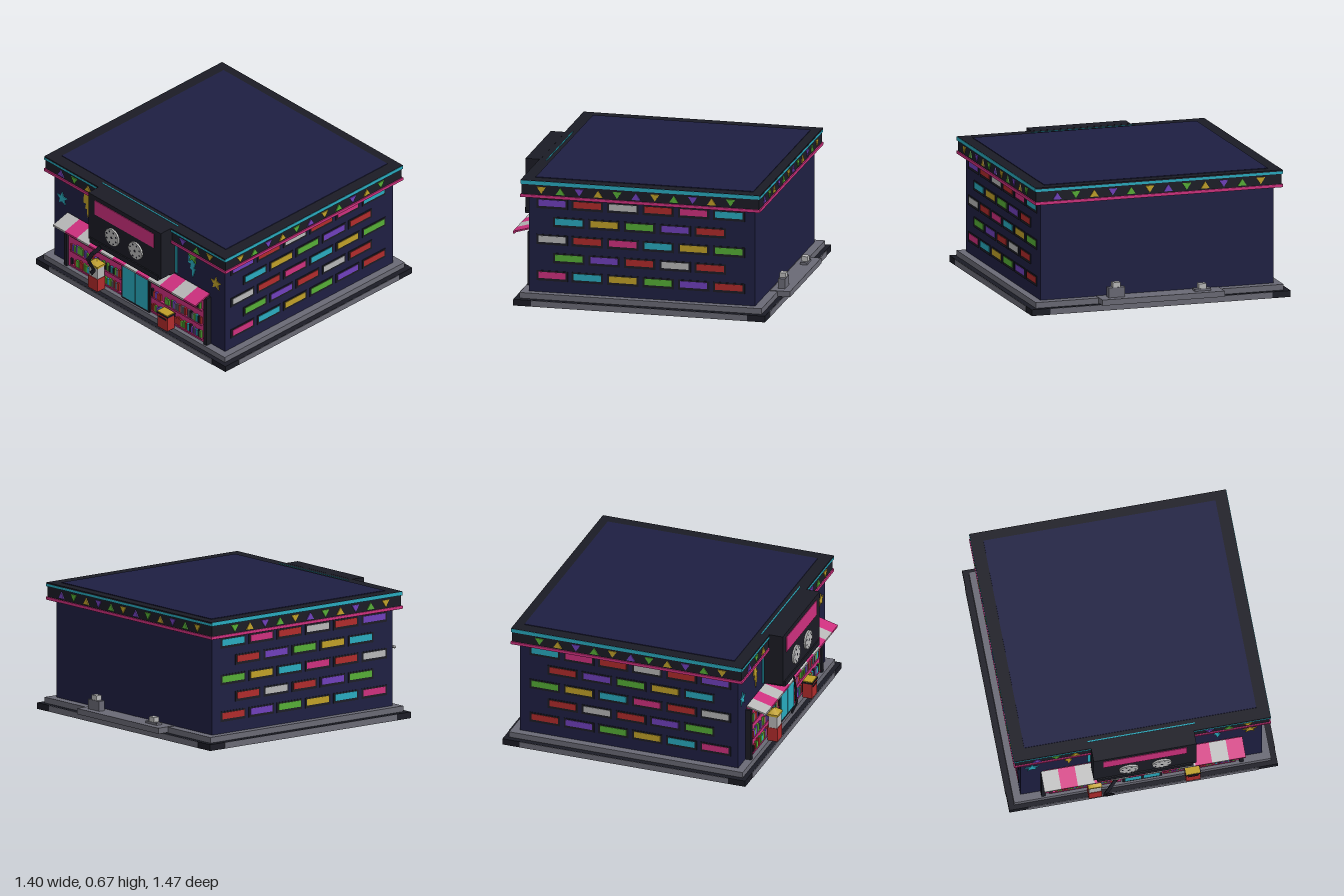
import * as THREE from 'three';

const mat = (name, color) => {
  const m = new THREE.MeshStandardMaterial({ color });
  m.name = name;
  return m;
};

export function createModel() {
  const M = {
    dark: mat('charcoal', 0x1b1c25), navy: mat('navy', 0x1e1f42), gray: mat('concrete', 0x6a6a75),
    white: mat('light gray', 0xb8b8b8), pink: mat('pink', 0xce307e), cyan: mat('cyan', 0x29abbf),
    yellow: mat('mustard', 0xc0a028), green: mat('green', 0x56ae36), purple: mat('purple', 0x7040bc),
    red: mat('red', 0xb02b2b),
  };
  const root = new THREE.Group();
  root.name = 'shop';

  const group = (name, parent = root) => {
    const g = new THREE.Group();
    g.name = name;
    parent.add(g);
    return g;
  };
  const add = (name, geo, color, x, y, z, parent = root) => {
    const m = new THREE.Mesh(geo, M[color]);
    m.name = name;
    m.position.set(x, y, z);
    parent.add(m);
    return m;
  };
  // Box given by its extents
  const span = (name, color, x0, x1, y0, y1, z0, z1, parent) =>
    add(name, new THREE.BoxGeometry(x1 - x0, y1 - y0, z1 - z0), color,
      (x0 + x1) / 2, (y0 + y1) / 2, (z0 + z1) / 2, parent);
  // Thin flat plate cut from an outline
  const plate = (name, pts, color, x, y, z, parent) => add(name,
    new THREE.ExtrudeGeometry(new THREE.Shape(pts.map(p => new THREE.Vector2(p[0], p[1]))),
      { depth: 0.006, bevelEnabled: false }), color, x, y, z, parent);

  // Base slabs, side panels, underside and rear step
  const base = group('base');
  span('lowerSlab', 'dark', -0.7, 0.7, 0.002, 0.035, -0.665, 0.665, base);
  span('lowerTrimFrontBack', 'gray', -0.6, 0.6, 0.003, 0.034, -0.668, 0.668, base);
  span('lowerTrimSides', 'gray', -0.702, 0.702, 0.003, 0.034, -0.57, 0.57, base);
  span('undersideConcrete', 'gray', -0.08, 0.67, 0, 0.004, -0.635, 0.635, base);
  span('undersideFloor', 'navy', -0.67, -0.08, 0, 0.004, -0.635, 0.635, base);
  span('upperSlab', 'gray', -0.67, 0.67, 0.035, 0.065, -0.64, 0.64, base);
  span('rearStep', 'gray', -0.33, 0.33, 0.038, 0.068, -0.705, -0.6, base);
  for (const [x, h] of [[0.24, 0.145], [-0.225, 0.105]]) {
    const v = group('rearVent', base);
    span('ventBox', 'gray', x - 0.044, x + 0.044, 0.065, h - 0.045 + 0.02, -0.667, -0.63, v);
    span('ventPost', 'white', x - 0.02, x + 0.02, 0.065, h, -0.664, -0.632, v);
  }

  // Walls, cornice bands and roof
  span('walls', 'navy', -0.63, 0.63, 0.065, 0.6, -0.595, 0.6);
  const cornice = group('cornice');
  span('corniceBand', 'dark', -0.664, 0.664, 0.572, 0.664, -0.625, 0.63, cornice);
  span('pinkStripe', 'pink', -0.67, 0.67, 0.574, 0.589, -0.631, 0.636, cornice);
  span('cyanStripe', 'cyan', -0.668, 0.668, 0.644, 0.657, -0.631, 0.636, cornice);
  span('cyanStripeSides', 'cyan', -0.67, 0.67, 0.644, 0.663, -0.629, 0.634, cornice);
  span('corniceCap', 'dark', -0.668, 0.668, 0.657, 0.6645, -0.63, 0.635, cornice);
  span('roof', 'navy', -0.605, 0.605, 0.655, 0.668, -0.58, 0.57);

  // Triangles along the cornice
  const triangle = (color, up, x, parent) => plate('cornicePennant',
    up ? [[-0.024, -0.018], [0.024, -0.018], [0, 0.018]] : [[-0.024, 0.018], [0, -0.018], [0.024, 0.018]],
    color, x, 0.615, 0, parent);
  const trio = ['purple', 'green', 'yellow'];
  for (const back of [false, true]) {
    const g = group(back ? 'backPennants' : 'frontPennants');
    g.position.z = back ? -0.624 : 0.629;
    g.rotation.y = back ? Math.PI : 0;
    for (let i = 0; i < 12; i++) {
      const x = -0.55 + i * 0.1;
      if (back || Math.abs(x) > 0.28) triangle(trio[i % 3], i % 2 === 0, x, g);
    }
  }

  // Coloured bricks and pennants on both side walls
  const rows = [
    ['purple', 'red', 'white', 'red', 'pink', 'cyan'],
    ['cyan', 'yellow', 'green', 'purple', 'red'],
    ['white', 'red', 'pink', 'cyan', 'yellow', 'green'],
    ['green', 'purple', 'red', 'white', 'red'],
    ['pink', 'cyan', 'yellow', 'green', 'purple', 'red'],
  ];
  for (const s of [1, -1]) {
    const bricks = group('sideBricks');
    bricks.position.x = s * 0.63;
    bricks.rotation.y = s * Math.PI / 2;
    rows.forEach((row, r) => row.forEach((color, i) => {
      const x = -s * ((r % 2 ? 0.388 : 0.477) - i * 0.187), y = 0.54 - r * 0.096;
      add('brickShade', new THREE.BoxGeometry(0.166, 0.054, 0.004), 'dark', x, y - 0.003, 0.001, bricks);
      add('brick', new THREE.BoxGeometry(0.144, 0.033, 0.005), color, x, y, 0.003, bricks);
    }));
    const pennants = group('sidePennants');
    pennants.position.x = s * 0.663;
    pennants.rotation.y = s * Math.PI / 2;
    for (let i = 0; i < 11; i++) {
      triangle(['yellow', 'green', 'purple'][i % 3], i % 2 === 1, -s * (0.525 - i * 0.1), pennants);
    }
  }

  // Storefront panel with posts
  const front = group('storefront');
  span('shelfPanel', 'pink', -0.51, 0.51, 0.065, 0.36, 0.59, 0.618, front);
  for (const s of [-1, 1]) span('post', 'dark', s * 0.516 - 0.01, s * 0.516 + 0.01, 0.065, 0.35, 0.59, 0.632, front);

  // Shelves filled with small upright cases
  let seed = 7;
  const rnd = () => (seed = (seed * 16807) % 2147483647) / 2147483647;
  const caseColors = ['red', 'green', 'cyan', 'purple', 'dark', 'red', 'gray', 'green'];
  for (const s of [-1, 1]) for (const y of [0.264, 0.174, 0.09]) {
    const c = s * 0.298;
    span('shelf', 'pink', c - 0.187, c + 0.187, y - 0.008, y, 0.61, 0.63, front);
    for (let x = c - 0.186; x < c + 0.174;) {
      const w = 0.009 + rnd() * 0.006, h = 0.032 + rnd() * 0.014;
      if (rnd() > 0.06) span('case', caseColors[Math.floor(rnd() * 8)], x, x + w, y, y + h, 0.612, 0.628, front);
      x += w + 0.002;
    }
  }

  // Double door
  const door = group('door');
  span('doorFrame', 'dark', -0.102, 0.102, 0.065, 0.302, 0.6, 0.63, door);
  for (const s of [-1, 1]) span('doorPane', 'cyan', s * 0.048 - 0.043, s * 0.048 + 0.043, 0.078, 0.288, 0.626, 0.634, door);

  // Striped awning
  const awning = group('awning');
  const sw = 1.05 / 12;
  for (let i = 0; i < 12; i++) {
    const color = i % 2 ? 'pink' : 'white', x = -0.525 + (i + 0.5) * sw;
    const strip = add('awningStrip', new THREE.BoxGeometry(sw, 0.008, 0.108), color, x, 0.357, 0.658, awning);
    strip.rotation.x = 0.27;
    span('awningEdge', color, x - sw / 2, x + sw / 2, 0.335, 0.345, 0.7, 0.71, awning);
  }

  // Cassette sign with label, reels and lit backing
  const sign = group('cassetteSign');
  span('signBacking', 'dark', -0.265, 0.265, 0.378, 0.66, 0.59, 0.638, sign);
  span('signGlow', 'cyan', -0.281, 0.279, 0.382, 0.572, 0.595, 0.604, sign);
  span('signGlowTop', 'cyan', -0.28, 0.28, 0.66, 0.667, 0.592, 0.598, sign);
  span('cassetteBody', 'dark', -0.268, 0.268, 0.385, 0.665, 0.63, 0.708, sign);
  span('cassetteFoot', 'dark', -0.25, 0.25, 0.37, 0.4, 0.63, 0.715, sign);
  span('cassetteLabel', 'pink', -0.218, 0.218, 0.555, 0.64, 0.705, 0.711, sign);
  for (const s of [-1, 1]) {
    const reel = group('reel', sign);
    reel.position.set(s * 0.086, 0.478, 0.712);
    add('reelDisc', new THREE.CylinderGeometry(0.05, 0.05, 0.012, 16), 'white', 0, 0, 0, reel).rotation.x = Math.PI / 2;
    add('reelHub', new THREE.CircleGeometry(0.008, 10), 'dark', 0, 0, 0.0075, reel);
    for (let i = 0; i < 8; i++) {
      const a = i * Math.PI / 4 + Math.PI / 8;
      add('reelHole', new THREE.CircleGeometry(0.006, 8), 'dark', 0.036 * Math.cos(a), 0.036 * Math.sin(a), 0.0075, reel);
    }
  }

  // Loose tape hanging from the sign
  const tapePath = [[-0.16, 0.385, 0.728], [-0.192, 0.345, 0.75], [-0.215, 0.3, 0.76],
    [-0.18, 0.25, 0.752], [-0.215, 0.208, 0.738]].map(p => new THREE.Vector3(...p));
  const tape = group('looseTape');
  for (let i = 0; i < 4; i++) {
    const a = tapePath[i], b = tapePath[i + 1];
    const seg = add('tapeSegment', new THREE.BoxGeometry(0.022, 0.005, a.distanceTo(b) + 0.008), 'dark', 0, 0, 0, tape);
    seg.up.set(0, 0, 1);
    seg.position.lerpVectors(a, b, 0.5);
    seg.lookAt(b);
  }

  // Stars and bolts painted on the front wall
  const star = (color, x, y, z) => plate('wallStar', Array.from({ length: 10 }, (_, i) => {
    const r = i % 2 ? 0.017 : 0.04, a = Math.PI / 2 + i * Math.PI / 5;
    return [r * Math.cos(a), r * Math.sin(a)];
  }), color, x, y, z);
  star('cyan', -0.57, 0.437, 0.598);
  star('yellow', 0.565, 0.452, 0.598);
  star('green', 0.397, 0.537, 0.603);
  const bolt = [[-0.022, 0.07], [0.022, 0.07], [0.01, 0.024], [0.026, 0.024], [0.012, -0.014],
    [0.024, -0.014], [0.004, -0.072], [-0.002, -0.022], [-0.014, -0.022], [-0.008, 0.008], [-0.028, 0.008]];
  plate('wallBolt', bolt, 'yellow', -0.385, 0.48, 0.598);
  plate('wallBolt', bolt, 'cyan', 0.39, 0.48, 0.598);

  // Popcorn cart
  const cart = group('popcornCart');
  span('cartBase', 'red', -0.29, -0.222, 0.065, 0.14, 0.633, 0.687, cart);
  span('cartCase', 'white', -0.288, -0.224, 0.14, 0.208, 0.636, 0.684, cart);
  span('cartRim', 'yellow', -0.292, -0.22, 0.206, 0.217, 0.631, 0.689, cart);
  const roof = add('cartRoof', new THREE.ConeGeometry(0.05, 0.03, 4, 1).rotateY(Math.PI / 4), 'yellow', -0.256, 0.232, 0.66, cart);
  roof.scale.z = 0.8;

  // Return box
  const bin = group('returnBox');
  span('binBody', 'red', 0.218, 0.292, 0.065, 0.147, 0.633, 0.685, bin);
  span('binLid', 'dark', 0.214, 0.296, 0.147, 0.155, 0.63, 0.688, bin);
  span('binTop', 'yellow', 0.218, 0.292, 0.154, 0.16, 0.633, 0.685, bin);
  span('binSlot', 'dark', 0.228, 0.282, 0.128, 0.136, 0.683, 0.688, bin);

  return root;
}
